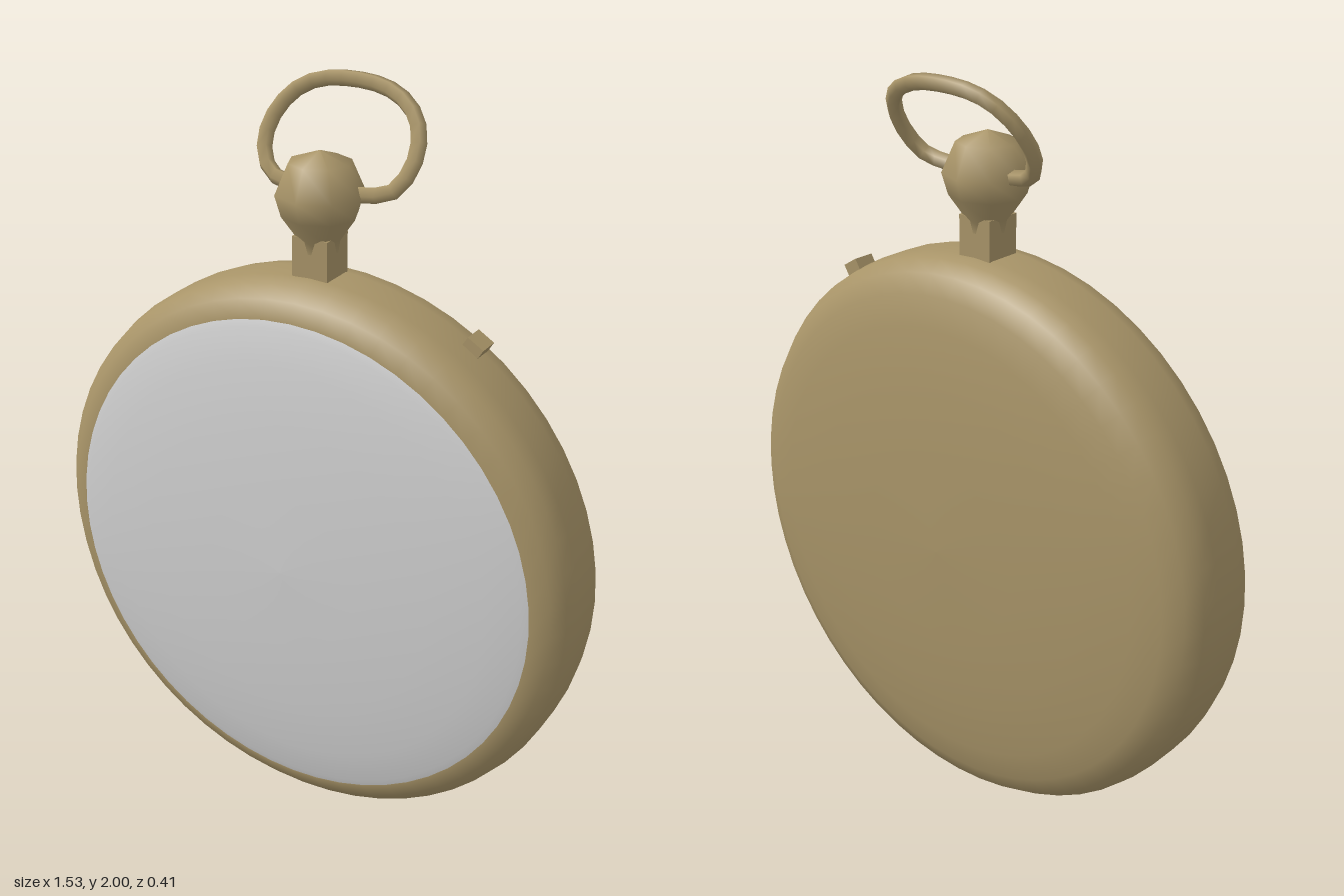
import * as THREE from 'three';

const brass = new THREE.MeshStandardMaterial({ color: 0xa89468 });
brass.name = 'brass';
const glassGrey = new THREE.MeshStandardMaterial({ color: 0xd0d0d0 });
glassGrey.name = 'glassGrey';

const CENTRE_Y = 0.773;

function lathe(points, segments) {
  return new THREE.LatheGeometry(points.map(([r, h]) => new THREE.Vector2(r, h)), segments);
}

export function createModel() {
  const group = new THREE.Group();
  const add = (name, geometry, material) => {
    const mesh = new THREE.Mesh(geometry, material);
    mesh.name = name;
    group.add(mesh);
    return mesh;
  };

  // Round case: profile runs from the domed back, over the band, to the bezel
  const caseShape = lathe([
    [0, -0.205], [0.25, -0.2], [0.45, -0.187], [0.6, -0.168], [0.68, -0.15],
    [0.73, -0.125], [0.758, -0.085], [0.766, -0.04], [0.766, 0.05],
    [0.755, 0.095], [0.725, 0.125], [0.68, 0.148], [0.67, 0.135],
  ], 56).rotateX(Math.PI / 2);
  add('case', caseShape, brass).position.y = CENTRE_Y;

  // Slightly domed front glass
  const glassShape = lathe([
    [0.69, 0.142], [0.66, 0.153], [0.57, 0.171], [0.42, 0.188], [0.22, 0.2], [0, 0.205],
  ], 56).rotateX(Math.PI / 2);
  add('glass', glassShape, glassGrey).position.y = CENTRE_Y;

  // Small thumb catch on the upper left of the band
  const catchMesh = add('thumbCatch', new THREE.BoxGeometry(0.05, 0.07, 0.06), brass);
  catchMesh.position.set(0.412, 1.407, -0.035);
  catchMesh.rotation.z = -0.55;

  // Square neck
  const neck = add('neck', new THREE.BoxGeometry(0.1, 0.13, 0.1), brass);
  neck.position.set(0, 1.575, 0);

  // Low-poly winding crown, narrowing into the neck
  add('crown', lathe([
    [0.052, 1.6], [0.056, 1.63], [0.098, 1.69], [0.114, 1.745], [0.08, 1.822], [0, 1.85],
  ], 8), brass);

  // Bow: an open ring leaning backwards from the sides of the crown
  const path = [
    [-0.1, 1.75], [-0.16, 1.765], [-0.2, 1.82], [-0.195, 1.89], [-0.15, 1.95], [-0.08, 1.98],
    [0.08, 1.98], [0.165, 1.945], [0.21, 1.89], [0.215, 1.82], [0.18, 1.765], [0.1, 1.75],
  ].map(([x, y]) => new THREE.Vector3(x, y, -0.02 - (y - 1.75) * 0.62));
  const bow = new THREE.TubeGeometry(new THREE.CatmullRomCurve3(path), 22, 0.021, 5);
  add('bow', bow, brass);

  return group;
}
